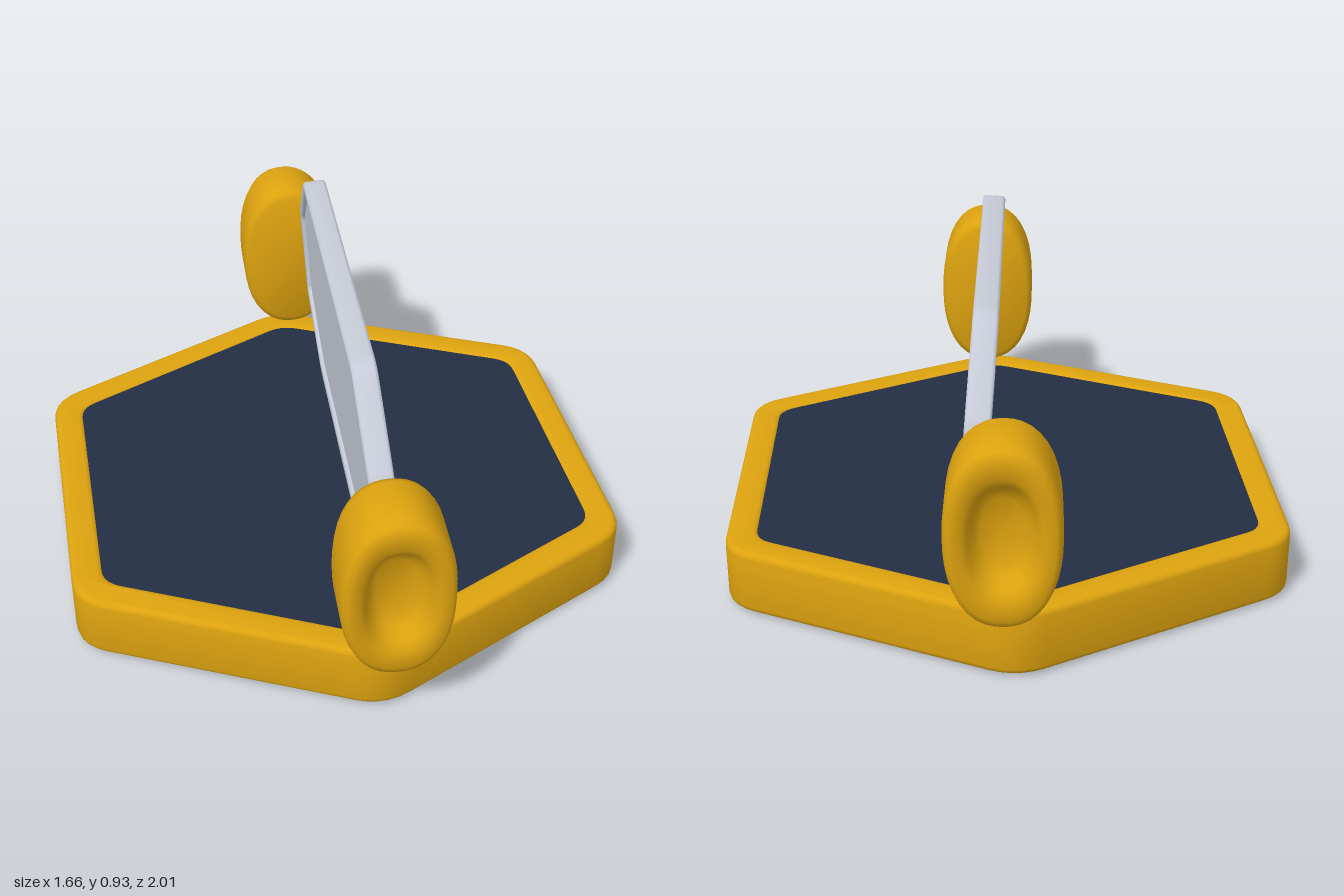
import * as THREE from 'three';
import { toCreasedNormals } from 'three/addons/utils/BufferGeometryUtils.js';

const yellow = new THREE.MeshStandardMaterial({ color: 0xdda30f });
yellow.name = 'amber yellow';
const navy = new THREE.MeshStandardMaterial({ color: 0x232e45 });
navy.name = 'dark navy';
const silver = new THREE.MeshStandardMaterial({ color: 0xc6cbd7 });
silver.name = 'silver grey';

// Closed outline with each corner rounded off by the distance r
function roundedOutline(corners, r, target = new THREE.Shape()) {
  const pts = corners.map(([x, y]) => new THREE.Vector2(x, y));
  const toward = (a, b) => a.clone().add(b.clone().sub(a).setLength(r));
  pts.forEach((p, i) => {
    const start = toward(p, pts[(i + pts.length - 1) % pts.length]);
    const end = toward(p, pts[(i + 1) % pts.length]);
    if (i === 0) target.moveTo(start.x, start.y);
    else target.lineTo(start.x, start.y);
    target.quadraticCurveTo(p.x, p.y, end.x, end.y);
  });
  target.closePath();
  return target;
}

// Bevelled slab, centred on its thickness
function slab(shape, thickness, bevel) {
  const geometry = new THREE.ExtrudeGeometry(shape, {
    depth: thickness - 2 * bevel,
    bevelEnabled: bevel > 0,
    bevelThickness: bevel,
    bevelSize: bevel,
    bevelOffset: -bevel,
    bevelSegments: 3,
    curveSegments: 5,
  });
  geometry.translate(0, 0, -(thickness - 2 * bevel) / 2);
  return toCreasedNormals(geometry, 0.75);
}

function addMesh(parent, name, geometry, material) {
  const mesh = new THREE.Mesh(geometry, material);
  mesh.name = name;
  parent.add(mesh);
  return mesh;
}

const hexagon = (x, side, tip) => [[0, tip], [-x, side], [-x, -side], [0, -tip], [x, -side], [x, side]];

const octagon = (top, topZ, upper, z, lower, bottom, bottomZ) => [
  [topZ, top], [-topZ, top], [-z, upper], [-z, lower],
  [-bottomZ, bottom], [bottomZ, bottom], [z, lower], [z, upper],
];

// Oval end cap with a dished outer face, pointing along +z
function capGeometry() {
  const profile = [
    [0, -0.11], [0.88, -0.11], [0.96, -0.1], [1, -0.075], [1, 0.075], [0.96, 0.1], [0.88, 0.11],
    [0.68, 0.108], [0.58, 0.09], [0.48, 0.055], [0.36, 0.04], [0, 0.035],
  ].map(([r, y]) => new THREE.Vector2(r, y));
  const geometry = new THREE.LatheGeometry(profile, 40);
  // Square the circle a little, then stretch it into a tall oval
  const pos = geometry.attributes.position;
  for (let i = 0; i < pos.count; i++) {
    const a = Math.atan2(pos.getZ(i), pos.getX(i));
    const n = 2.3;
    const k = (Math.abs(Math.cos(a)) ** n + Math.abs(Math.sin(a)) ** n) ** (-1 / n);
    pos.setX(i, pos.getX(i) * k * 0.157);
    pos.setZ(i, pos.getZ(i) * k * 0.265);
  }
  geometry.rotateX(Math.PI / 2);
  return toCreasedNormals(geometry, 0.8);
}

export function createModel() {
  const model = new THREE.Group();
  model.name = 'hexagonalStand';
  const yaw = -0.059;

  // Hexagonal base: frame with an almost flush filling
  const base = new THREE.Group();
  base.name = 'base';
  base.rotation.x = -Math.PI / 2;
  model.add(base);
  const frameShape = roundedOutline(hexagon(0.83, 0.5, 0.905), 0.09);
  frameShape.holes.push(roundedOutline(hexagon(0.735, 0.435, 0.8), 0.05, new THREE.Path()));
  addMesh(base, 'baseFrame', slab(frameShape, 0.195, 0.018), yellow).position.z = 0.1045;
  const fillShape = roundedOutline(hexagon(0.745, 0.44, 0.81), 0.05);
  addMesh(base, 'baseFilling', slab(fillShape, 0.196, 0), navy).position.z = 0.098;

  // Upright eight-sided panel, slightly turned and leaning
  const panel = new THREE.Group();
  panel.name = 'panel';
  panel.position.set(0.065, 0.565, 0);
  panel.rotation.set(0, yaw, 0.075);
  model.add(panel);
  const rimShape = roundedOutline(octagon(0.365, 0.53, 0.135, 0.768, -0.195, -0.362, 0.49), 0.04);
  const opening = octagon(0.328, 0.51, 0.115, 0.728, -0.17, -0.315, 0.475);
  rimShape.holes.push(roundedOutline(opening, 0.02, new THREE.Path()));
  const sheetShape = roundedOutline(octagon(0.34, 0.515, 0.12, 0.74, -0.18, -0.33, 0.48), 0.02);
  addMesh(panel, 'panelRim', slab(rimShape, 0.072, 0.01), silver).rotation.y = Math.PI / 2;
  addMesh(panel, 'panelSheet', slab(sheetShape, 0.048, 0), silver).rotation.y = Math.PI / 2;

  // Oval caps at both ends of the panel
  const cap = capGeometry();
  for (const [name, x, z, turn] of [['frontCap', 0.018, 0.886, 0], ['backCap', 0.038, -0.888, Math.PI]]) {
    const mesh = addMesh(model, name, cap, yellow);
    mesh.position.set(x, 0.485, z);
    mesh.rotation.y = yaw + turn;
  }
  return model;
}
